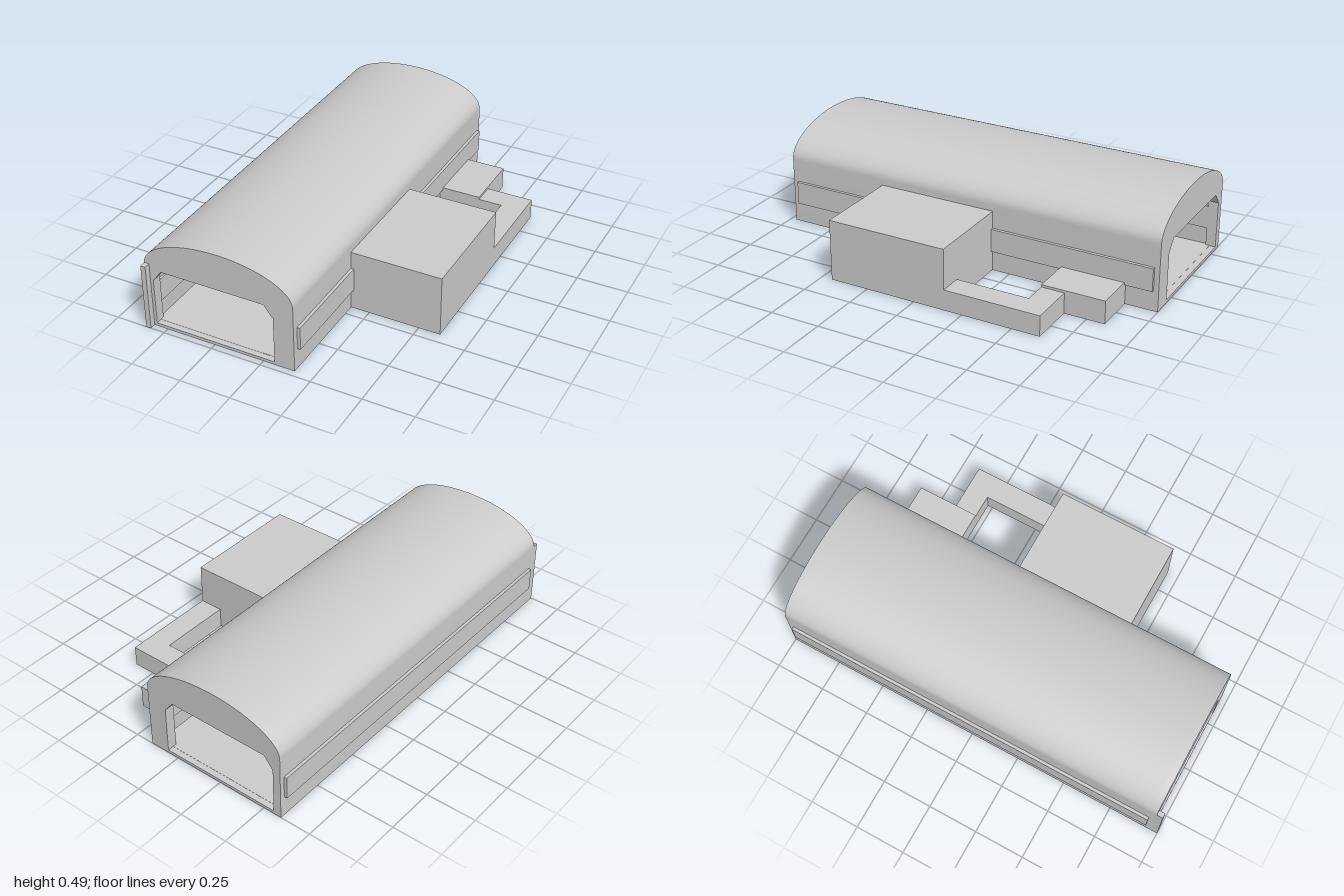
import * as THREE from 'three';
import { toCreasedNormals } from 'three/addons/utils/BufferGeometryUtils.js';

const LEFT = -0.595, RIGHT = 0.157, MID = (LEFT + RIGHT) / 2;
const SPRING = 0.335, RISE = 0.158, BACK = -1, FRONT = 0.97;
const SKIN = 0.025, END = 0.03, FLOOR = 0.015;

// vaulted cross-section, inset from the outer skin
function vaultPath(path, inset, bottom) {
  const rx = (RIGHT - LEFT) / 2 - inset;
  path.moveTo(MID - rx, bottom);
  path.lineTo(MID + rx, bottom);
  path.lineTo(MID + rx, SPRING);
  path.absellipse(MID, SPRING, rx, RISE - inset, 0, Math.PI, false, 0);
  path.closePath();
  return path;
}

// door outline with chamfered upper corners
function doorPath(path, grow, bottom) {
  const l = -0.555 - grow, r = 0.057 + grow, t = 0.308 + grow;
  path.moveTo(l, bottom);
  path.lineTo(r, bottom);
  path.lineTo(r, 0.25);
  path.lineTo(r - 0.045, t);
  path.lineTo(l + 0.045, t);
  path.lineTo(l, 0.25);
  path.closePath();
  return path;
}

export function createModel() {
  const model = new THREE.Group();
  const material = new THREE.MeshStandardMaterial({ color: 0xcccccc });

  const add = (name, geometry) => {
    const mesh = new THREE.Mesh(geometry, material);
    mesh.name = name;
    model.add(mesh);
    return mesh;
  };
  const box = (name, x0, x1, y0, y1, z0, z1) =>
    add(name, new THREE.BoxGeometry(x1 - x0, y1 - y0, z1 - z0))
      .position.set((x0 + x1) / 2, (y0 + y1) / 2, (z0 + z1) / 2);
  const extrude = (name, shape, z0, z1) => {
    const geometry = new THREE.ExtrudeGeometry(shape, {
      depth: z1 - z0, bevelEnabled: false, curveSegments: 48
    });
    geometry.translate(0, 0, z0);
    add(name, toCreasedNormals(geometry, 0.5));
  };

  // hollow hall: floor, walls and curved roof in one shell
  const shell = vaultPath(new THREE.Shape(), 0, 0);
  shell.holes.push(vaultPath(new THREE.Path(), SKIN, FLOOR));
  extrude('hallShell', shell, BACK + END, FRONT - END);

  // end walls with door openings, and door frames just inside them
  const endWall = vaultPath(new THREE.Shape(), 0, 0);
  endWall.holes.push(doorPath(new THREE.Path(), 0, FLOOR));
  const frame = doorPath(new THREE.Shape(), 0.012, FLOOR);
  frame.holes.push(doorPath(new THREE.Path(), 0, FLOOR + 0.001));
  extrude('frontWall', endWall, FRONT - END, FRONT);
  extrude('backWall', endWall, BACK, BACK + END);
  extrude('frontDoorFrame', frame, FRONT - END - 0.02, FRONT - END);
  extrude('backDoorFrame', frame, BACK + END, BACK + END + 0.02);

  // long window bands passing through both side walls
  const band = 0.015;
  box('rightWindowBand', LEFT - band, LEFT + SKIN + 0.01, 0.103, 0.218, -0.975, 0.94);
  box('leftWindowBand', RIGHT - SKIN - 0.01, RIGHT + band, 0.103, 0.218, -0.975, 0.94);

  // slim post at the front corner
  box('cornerPost', LEFT, -0.57, 0, SPRING, FRONT, 1);

  // side annex and the low wings around its courtyard
  box('annex', RIGHT, 0.607, 0, 0.305, -0.16, 0.445);
  box('rearWing', RIGHT, 0.37, 0, 0.115, -0.84, -0.525);
  box('cornerWing', 0.37, 0.607, 0, 0.103, -0.64, -0.525);
  box('sideWing', 0.49, 0.607, 0, 0.103, -0.525, -0.16);

  return model;
}
